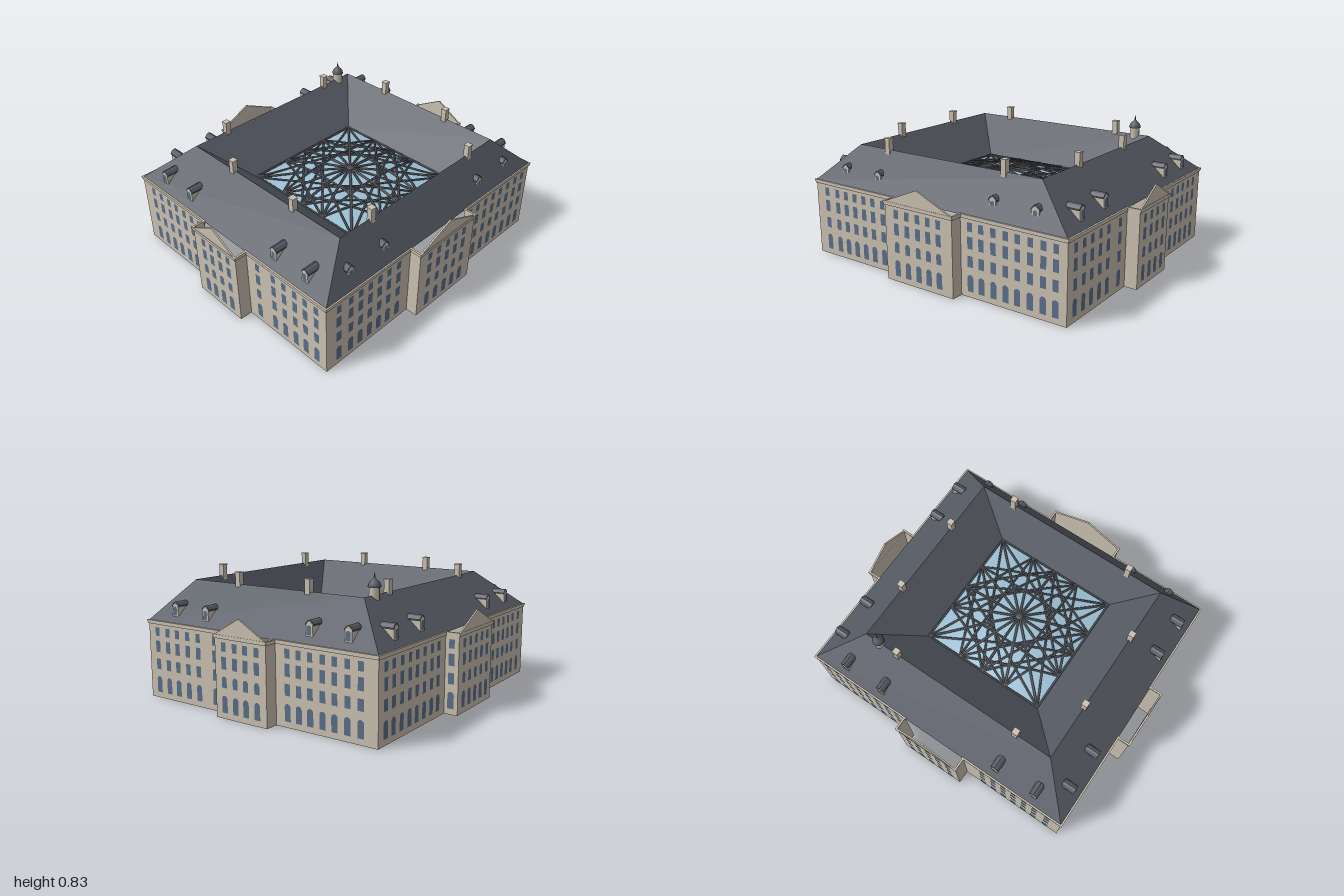
import * as THREE from 'three';
import { mergeGeometries } from 'three/addons/utils/BufferGeometryUtils.js';

const mat = (name, color, side = THREE.FrontSide) => {
  const m = new THREE.MeshStandardMaterial({ color, side });
  m.name = name;
  return m;
};

export function createModel() {
  const stone = mat('stone', 0xcbc1b1, THREE.DoubleSide);
  const slate = mat('slate', 0x575b64, THREE.DoubleSide);
  const pane = mat('window blue', 0x5a6f8a);
  const glass = mat('courtyard glass', 0x9cbfd4, THREE.DoubleSide);
  const steel = mat('steel', 0x4a4d53);

  const model = new THREE.Group();
  const add = (parent, name, geo, material, x = 0, y = 0, z = 0) => {
    const m = new THREE.Mesh(geo, material);
    m.name = name;
    m.position.set(x, y, z);
    parent.add(m);
    return m;
  };
  const box = (w, h, d, x, y, z) => new THREE.BoxGeometry(w, h, d).translate(x, y, z);
  const polygon = (pts) => new THREE.Shape(pts.map(([x, y]) => new THREE.Vector2(x, y)));

  const EAVES = 0.47, RIDGE = 0.7;

  // window outline, optionally with an arched head
  const windowGeo = (w, y0, y1, arched) => {
    const s = new THREE.Shape(), r = w / 2, spring = arched ? y1 - r : y1;
    s.moveTo(-r, y0).lineTo(r, y0).lineTo(r, spring);
    if (arched) s.absarc(0, spring, r, 0, Math.PI, false);
    else s.lineTo(-r, y1);
    return new THREE.ShapeGeometry(s, 5);
  };
  const windowColumn = (archedSecond) => [
    windowGeo(0.04, 0.035, 0.133, true),
    windowGeo(0.036, 0.178, 0.243, archedSecond),
    windowGeo(0.036, 0.283, 0.353, false),
    windowGeo(0.034, 0.382, 0.434, false)];

  // each facade faces local +z; the central bay stands forward between r0 and r1
  const frontCols = [-0.82, -0.73, -0.655, -0.58, -0.505, -0.43, -0.35, 0.3, 0.375, 0.455, 0.535, 0.61, 0.69, 0.77, 0.845];
  const sideCols = [-0.745, -0.66, -0.58, -0.495, -0.41, -0.28, 0.245, 0.32, 0.395, 0.475, 0.55, 0.63, 0.71];
  const flip = (a) => a.map((v) => -v);
  const facades = [
    { name: 'front', turn: 0, d: 0.817, rd: 0.89, a: -0.912, b: 0.912, r0: -0.255, r1: 0.235,
      cols: frontCols, bay: [-0.17, -0.09, -0.01, 0.065, 0.14], dormers: [-0.69, -0.42, 0.42, 0.69], foot: 0.775, sill: 0.53, back: 0.73 },
    { name: 'leftSide', turn: Math.PI / 2, d: 0.912, rd: 0.99, a: -0.817, b: 0.812, r0: -0.2, r1: 0.165,
      cols: sideCols, bay: [-0.135, -0.055, 0.02, 0.1], dormers: [-0.625, -0.38, 0.365, 0.61], foot: 0.875, sill: 0.505, back: 0.79 },
    { name: 'back', turn: Math.PI, d: 0.812, rd: 0.895, a: -0.912, b: 0.912, r0: -0.217, r1: 0.217,
      cols: flip(frontCols), bay: [-0.15, -0.075, 0, 0.075, 0.15], dormers: [-0.69, -0.42, 0.42, 0.69], foot: 0.775, sill: 0.505, back: 0.69 },
    { name: 'rightSide', turn: -Math.PI / 2, d: 0.912, rd: 0.99, a: -0.812, b: 0.817, r0: -0.185, r1: 0.19,
      cols: flip(sideCols), bay: [-0.1, -0.03, 0.045, 0.12], dormers: [-0.61, -0.365, 0.38, 0.625], foot: 0.875, sill: 0.505, back: 0.79 },
  ];

  // dormer: gabled body, overhanging slate roof, one window
  const dormer = (f, x) => {
    const g = new THREE.Group();
    g.name = 'dormer';
    const w = 0.022, top = 0.57, peak = 0.588, depth = f.foot - f.back;
    const body = polygon([[-w, f.sill - 0.01], [w, f.sill - 0.01], [w, top], [0, peak], [-w, top]]);
    const cap = polygon([[-0.028, 0.564], [-w, 0.566], [0, 0.585], [w, 0.566], [0.028, 0.564],
      [0.028, 0.572], [0.014, 0.589], [0, 0.595], [-0.014, 0.589], [-0.028, 0.572]]);
    const ext = (s, d) => new THREE.ExtrudeGeometry(s, { depth: d, bevelEnabled: false });
    add(g, 'dormerBody', ext(body, depth), stone, 0, 0, f.back);
    add(g, 'dormerRoof', ext(cap, depth), slate, 0, 0, f.back);
    add(g, 'dormerWindow', windowGeo(0.026, f.sill + 0.008, 0.566, true), pane, 0, 0, f.foot + 0.002);
    g.position.x = x;
    return g;
  };

  for (const f of facades) {
    const g = new THREE.Group();
    g.name = f.name + 'Facade';
    g.rotation.y = f.turn;
    model.add(g);

    // wall sheets and cornice follow the same stepped plan line
    const plan = [[f.a, f.d], [f.r0, f.d], [f.r0, f.rd], [f.r1, f.rd], [f.r1, f.d], [f.b, f.d]];
    const walls = [], cornice = [];
    for (let i = 0; i < 5; i++) {
      const [x0, z0] = plan[i], [x1, z1] = plan[i + 1];
      const len = Math.hypot(x1 - x0, z1 - z0), ang = -Math.atan2(z1 - z0, x1 - x0);
      const place = (geo) => geo.rotateY(ang).translate((x0 + x1) / 2, 0, (z0 + z1) / 2);
      walls.push(place(new THREE.PlaneGeometry(len, EAVES).translate(0, EAVES / 2, 0)));
      cornice.push(place(box(len + 0.016, 0.012, 0.012, 0, 0.469, 0.002)));
      cornice.push(place(box(len + 0.006, 0.01, 0.008, 0, 0.458, 0.002)));
    }
    add(g, 'walls', mergeGeometries(walls), stone);
    add(g, 'cornice', mergeGeometries(cornice), stone);

    // windows
    const panes = [];
    for (const x of f.cols) for (const w of windowColumn(false)) panes.push(w.translate(x, 0, f.d + 0.002));
    for (const x of f.bay) for (const w of windowColumn(true)) panes.push(w.translate(x, 0, f.rd + 0.002));
    if (f.name === 'back')
      for (const w of windowColumn(false)) panes.push(w.rotateY(-Math.PI / 2).translate(f.r0 - 0.002, 0, 0.852));
    add(g, 'windows', mergeGeometries(panes), pane);

    // free-standing pediment over the bay
    const gable = polygon([[f.r0, 0.472], [f.r1, 0.472], [(f.r0 + f.r1) / 2, 0.575]]);
    add(g, 'pediment', new THREE.ExtrudeGeometry(gable, { depth: 0.01, bevelEnabled: false }), stone, 0, 0, f.rd - 0.004);

    for (const x of f.dormers) g.add(dormer(f, x));
  }

  // roof: rings at the eaves, the ridge and the courtyard edge
  const ring = (x, z0, z1, y) => [[-x, y, z1], [x, y, z1], [x, y, z0], [-x, y, z0]];
  const rings = [ring(0.915, -0.815, 0.82, EAVES), ring(0.66, -0.56, 0.667, RIDGE), ring(0.41, -0.305, 0.515, EAVES)];
  const roofPts = [];
  for (let r = 0; r < 2; r++)
    for (let i = 0; i < 4; i++) {
      const j = (i + 1) % 4, a = rings[r], b = rings[r + 1];
      for (const p of [a[i], a[j], b[j], a[i], b[j], b[i]]) roofPts.push(...p);
    }
  const roof = new THREE.BufferGeometry();
  roof.setAttribute('position', new THREE.Float32BufferAttribute(roofPts, 3));
  roof.computeVertexNormals();
  add(model, 'roof', roof, slate);

  // chimneys along the ridge
  const chimneys = [];
  for (const s of [-1, 1])
    for (const [x, z] of [[0.423, 0.667], [0.423, -0.56], [0.66, -0.2], [0.66, 0.31]])
      chimneys.push(box(0.034, 0.11, 0.034, s * x, 0.715, z), box(0.038, 0.008, 0.038, s * x, 0.768, z));
  add(model, 'chimneys', mergeGeometries(chimneys), stone);

  // cupola
  const cupola = new THREE.Group();
  cupola.name = 'cupola';
  cupola.position.set(0.56, 0, -0.56);
  model.add(cupola);
  add(cupola, 'cupolaDrum', new THREE.CylinderGeometry(0.031, 0.031, 0.08, 8), stone, 0, 0.705, 0);
  const dome = [[0.031, 0.742], [0.037, 0.744], [0.035, 0.757], [0.027, 0.772], [0.014, 0.784], [0.005, 0.792], [0.004, 0.805], [0, 0.826]];
  add(cupola, 'cupolaDome', new THREE.LatheGeometry(dome.map(([x, y]) => new THREE.Vector2(x, y)), 12), slate);

  // shallow glass vault over the courtyard
  const HALF = 0.41;
  const lift = (x, z) => 0.06 * (1 - (x / HALF) ** 2) * (1 - (z / HALF) ** 2);
  const court = new THREE.Group();
  court.name = 'courtyardRoof';
  court.position.set(0, EAVES, 0.105);
  model.add(court);
  const vault = new THREE.PlaneGeometry(2 * HALF, 2 * HALF, 16, 16).rotateX(-Math.PI / 2);
  const vp = vault.attributes.position;
  for (let i = 0; i < vp.count; i++) vp.setY(i, lift(vp.getX(i), vp.getZ(i)));
  vault.computeVertexNormals();
  add(court, 'glassVault', vault, glass);

  // compass-rose ribs between sixteen points on the rim
  const rim = Array.from({ length: 16 }, (_, k) => {
    const c = Math.cos(k * Math.PI / 8), s = Math.sin(k * Math.PI / 8), m = HALF / Math.max(Math.abs(c), Math.abs(s));
    return [c * m, s * m];
  });
  const rib = ([x0, z0], [x1, z1], r) => {
    const pts = Array.from({ length: 9 }, (_, i) => {
      const x = x0 + (x1 - x0) * i / 8, z = z0 + (z1 - z0) * i / 8;
      return new THREE.Vector3(x, lift(x, z) + 0.004, z);
    });
    return new THREE.TubeGeometry(new THREE.CatmullRomCurve3(pts), 10, r, 5);
  };
  const ribs = [];
  rim.forEach((p, k) => {
    ribs.push(rib([0, 0], p, 0.008));
    for (const step of [4, 6]) ribs.push(rib(p, rim[(k + step) % 16], 0.007));
  });
  add(court, 'ribs', mergeGeometries(ribs), steel);
  add(court, 'hub', new THREE.SphereGeometry(0.027, 12, 8).scale(1, 0.5, 1), steel, 0, 0.064, 0);

  return model;
}
